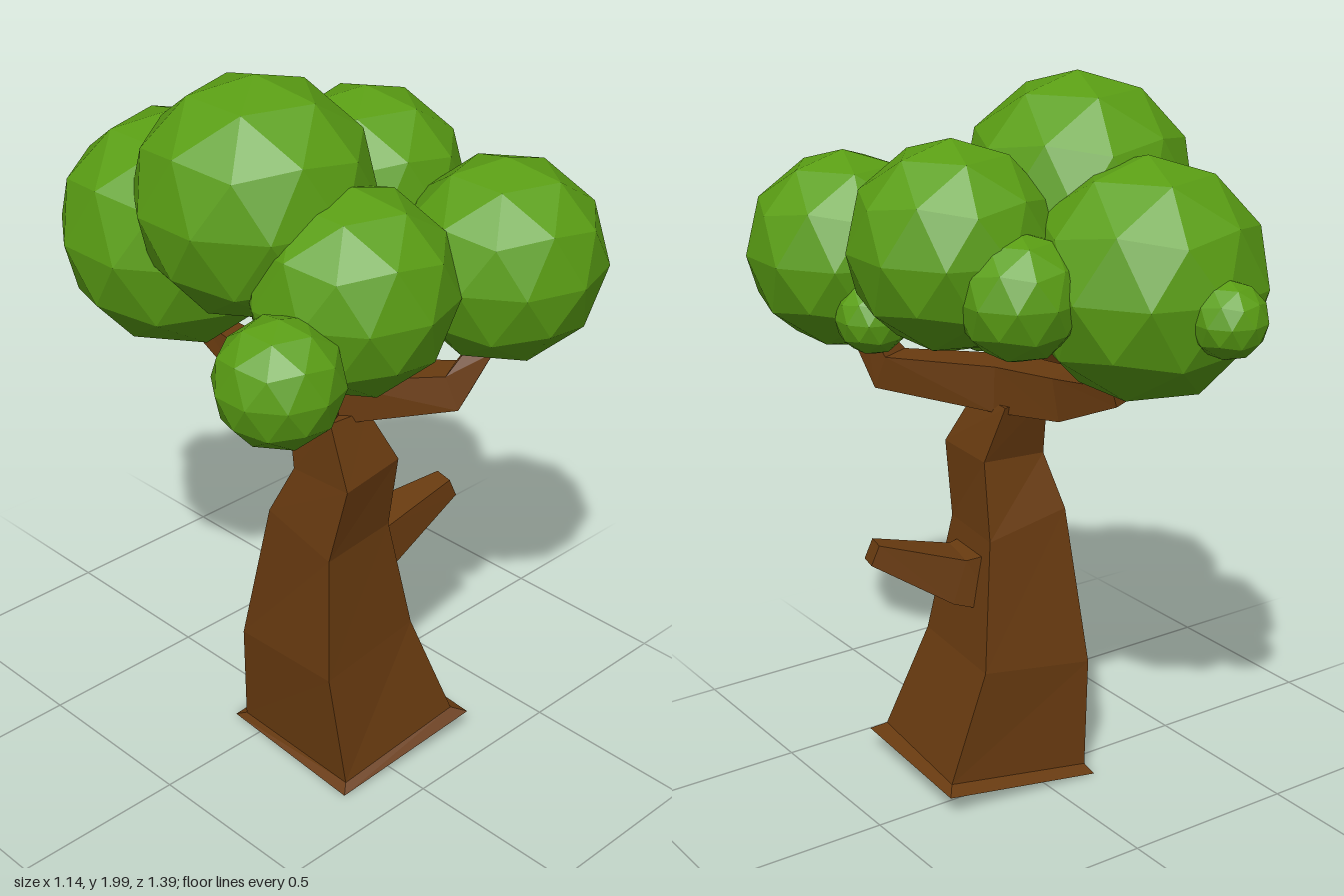
import * as THREE from 'three';

const bark = new THREE.MeshStandardMaterial({ color: 0x693b10, flatShading: true });
const leaf = new THREE.MeshStandardMaterial({ color: 0x5a9e14, flatShading: true });

// Skin a stack of four-cornered rings and cap both ends
function loft(rings) {
  const out = [];
  const quad = (a, b, c, d) => [a, b, c, a, c, d].forEach((p) => out.push(...p));
  for (let i = 0; i < rings.length - 1; i++) {
    for (let k = 0; k < 4; k++) {
      const n = (k + 1) % 4;
      quad(rings[i][k], rings[i][n], rings[i + 1][n], rings[i + 1][k]);
    }
  }
  const first = rings[0], last = rings[rings.length - 1];
  quad(first[3], first[2], first[1], first[0]);
  quad(last[0], last[1], last[2], last[3]);
  const geo = new THREE.BufferGeometry();
  geo.setAttribute('position', new THREE.Float32BufferAttribute(out, 3));
  geo.computeVertexNormals();
  return geo;
}

// Square-section limb along points [x, y, z, halfWidth, halfHeight]
function limb(path) {
  const pts = path.map((p) => new THREE.Vector3(p[0], p[1], p[2]));
  const span = pts[pts.length - 1].clone().sub(pts[0]);
  const side = new THREE.Vector3(0, 1, 0).cross(span).normalize();
  return loft(pts.map((p, i) => {
    const t = pts[Math.min(i + 1, pts.length - 1)].clone().sub(pts[Math.max(i - 1, 0)]);
    const up = t.cross(side).normalize();
    return [[-1, -1], [1, -1], [1, 1], [-1, 1]].map(([a, b]) =>
      p.clone().addScaledVector(side, a * path[i][3]).addScaledVector(up, b * path[i][4]).toArray());
  }));
}

export function createModel() {
  const tree = new THREE.Group();
  tree.name = 'tree';
  const add = (name, geo, mat) => {
    const mesh = new THREE.Mesh(geo, mat);
    mesh.name = name;
    tree.add(mesh);
    return mesh;
  };

  // Trunk: corners run front -x, front +x, back +x, back -x, with a tilted flared foot
  add('trunk', loft([
    [[-0.18, 0.01, 0.37], [0.29, 0.07, 0.40], [0.32, 0.07, -0.08], [-0.15, 0.01, -0.11]],
    [[-0.155, 0.03, 0.35], [0.25, 0.09, 0.37], [0.29, 0.085, -0.04], [-0.14, 0.03, -0.075]],
    [[-0.175, 0.36, 0.30], [0.15, 0.40, 0.295], [0.175, 0.39, -0.04], [-0.165, 0.34, -0.055]],
    [[-0.15, 0.72, 0.27], [0.08, 0.74, 0.265], [0.11, 0.74, 0.03], [-0.15, 0.78, 0.04]],
    [[-0.12, 0.935, 0.305], [0.08, 0.955, 0.295], [0.08, 0.945, 0.10], [-0.125, 0.93, 0.11]],
    [[-0.115, 1.11, 0.235], [0.02, 1.10, 0.235], [0.03, 1.10, 0.07], [-0.11, 1.11, 0.07]],
  ]), bark);

  // Main bough runs from the back to the front +x corner and turns up at its end
  add('mainBough', limb([
    [-0.09, 1.21, -0.28, 0.035, 0.025],
    [-0.085, 1.15, -0.05, 0.06, 0.06],
    [-0.03, 1.14, 0.15, 0.07, 0.065],
    [0.20, 1.165, 0.385, 0.05, 0.05],
    [0.255, 1.29, 0.43, 0.03, 0.03],
  ]), bark);
  add('sideBough', limb([
    [-0.02, 1.14, 0.12, 0.06, 0.06],
    [-0.17, 1.16, 0.20, 0.06, 0.05],
    [-0.36, 1.28, 0.32, 0.04, 0.035],
  ]), bark);
  add('forkTwig', limb([
    [-0.08, 1.16, 0.16, 0.04, 0.04],
    [-0.13, 1.23, 0.24, 0.03, 0.03],
    [-0.12, 1.30, 0.27, 0.025, 0.025],
  ]), bark);
  add('brokenBranch', limb([
    [0.05, 0.61, 0.13, 0.09, 0.09],
    [0.16, 0.62, 0.15, 0.07, 0.065],
    [0.38, 0.718, 0.205, 0.03, 0.03],
  ]), bark);

  // Foliage: faceted balls with a vertex at the top
  const ball = new THREE.IcosahedronGeometry(1, 1).rotateZ(-Math.atan(2 / (1 + Math.sqrt(5))));
  [
    [-0.16, 1.685, 0.01, 0.315],
    [-0.15, 1.51, -0.30, 0.32],
    [-0.11, 1.51, 0.30, 0.27],
    [0.305, 1.51, 0.425, 0.27],
    [0.245, 1.595, -0.01, 0.275],
    [-0.42, 1.395, 0.37, 0.165],
    [0.20, 1.505, -0.24, 0.165],
    [-0.17, 1.47, -0.60, 0.10],
    [0.36, 1.38, 0.20, 0.10],
    [0.05, 1.39, 0.13, 0.14],
  ].forEach(([x, y, z, r], i) => {
    const m = add(`foliage${i + 1}`, ball, leaf);
    m.position.set(x, y, z);
    m.scale.setScalar(r);
  });
  return tree;
}
